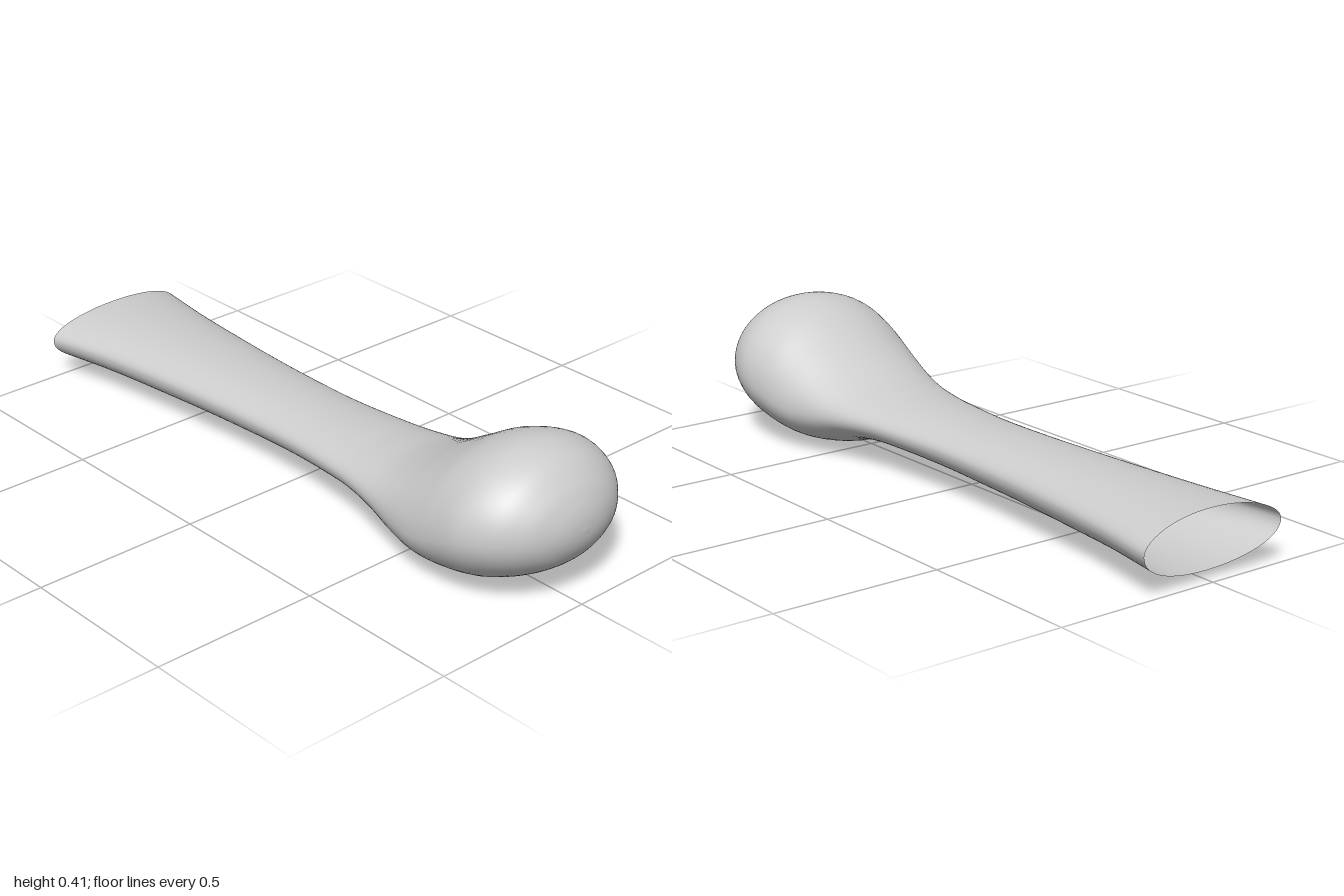
import * as THREE from 'three';
import { mergeVertices } from 'three/addons/utils/BufferGeometryUtils.js';

// Cross-sections from open end to rounded tip: z, half width, top, bottom, height of widest line
const SECTIONS = [
  [-1, 0.237, 0.196, 0.025, 0.12],
  [-0.8, 0.203, 0.198, 0.029, 0.125],
  [-0.6, 0.18, 0.198, 0.033, 0.128],
  [-0.4, 0.163, 0.197, 0.04, 0.13],
  [-0.2, 0.153, 0.196, 0.047, 0.132],
  [0, 0.152, 0.196, 0.055, 0.135],
  [0.2, 0.168, 0.202, 0.062, 0.138],
  [0.3, 0.183, 0.21, 0.062, 0.138],
  [0.4, 0.205, 0.228, 0.048, 0.135],
  [0.5, 0.232, 0.27, 0.016, 0.132],
  [0.6, 0.257, 0.328, 0.001, 0.137],
  [0.7, 0.271, 0.386, 0.004, 0.165],
  [0.8, 0.273, 0.41, 0.024, 0.2],
  [0.89, 0.236, 0.392, 0.065, 0.215],
  [0.95, 0.175, 0.342, 0.108, 0.22],
  [0.98, 0.114, 0.297, 0.148, 0.22],
  [0.995, 0.057, 0.258, 0.184, 0.22],
  [1, 0, 0.22, 0.22, 0.22],
];
const ROWS = 102;
const SIDES = 56;

function loftGeometry() {
  const spline = (pick) => new THREE.CatmullRomCurve3(
    SECTIONS.map((s) => new THREE.Vector3(...pick(s))), false, 'catmullrom', 0.5);
  const widths = spline(([z, w, , , mid]) => [z, w, mid]);
  const heights = spline(([z, , top, bottom]) => [z, top, bottom]);
  const positions = [];
  const index = [];

  for (let i = 0; i <= ROWS; i++) {
    const { x: z, y: w, z: mid } = widths.getPoint(i / ROWS);
    const { y: top, z: bottom } = heights.getPoint(i / ROWS);
    const rim = Math.max(0, (-0.8 - z) / 0.2); // the rim curves in at top and bottom
    for (let j = 0; j < SIDES; j++) {
      const a = (j / SIDES) * Math.PI * 2;
      const s = Math.sin(a);
      const y = mid + s * (s > 0 ? top - mid : mid - bottom);
      positions.push(w * Math.cos(a), y, z + rim * s * s * (s > 0 ? 0.014 : 0.025));
      if (i === ROWS) continue;
      const p = i * SIDES + j;
      const q = i * SIDES + (j + 1) % SIDES;
      index.push(p, q, p + SIDES, p + SIDES, q, q + SIDES);
    }
  }
  const geometry = new THREE.BufferGeometry();
  geometry.setAttribute('position', new THREE.Float32BufferAttribute(positions, 3));
  geometry.setIndex(index);
  const merged = mergeVertices(geometry, 1e-5);
  merged.computeVertexNormals();
  return merged;
}

export function createModel() {
  const grey = new THREE.MeshStandardMaterial({ color: 0xcccccc, side: THREE.DoubleSide });
  grey.name = 'lightGrey';
  const group = new THREE.Group();
  group.name = 'model';

  // Hollow flared stem that swells into a rounded head
  const body = new THREE.Mesh(loftGeometry(), grey);
  body.name = 'stemAndRoundedHead';
  group.add(body);
  return group;
}
